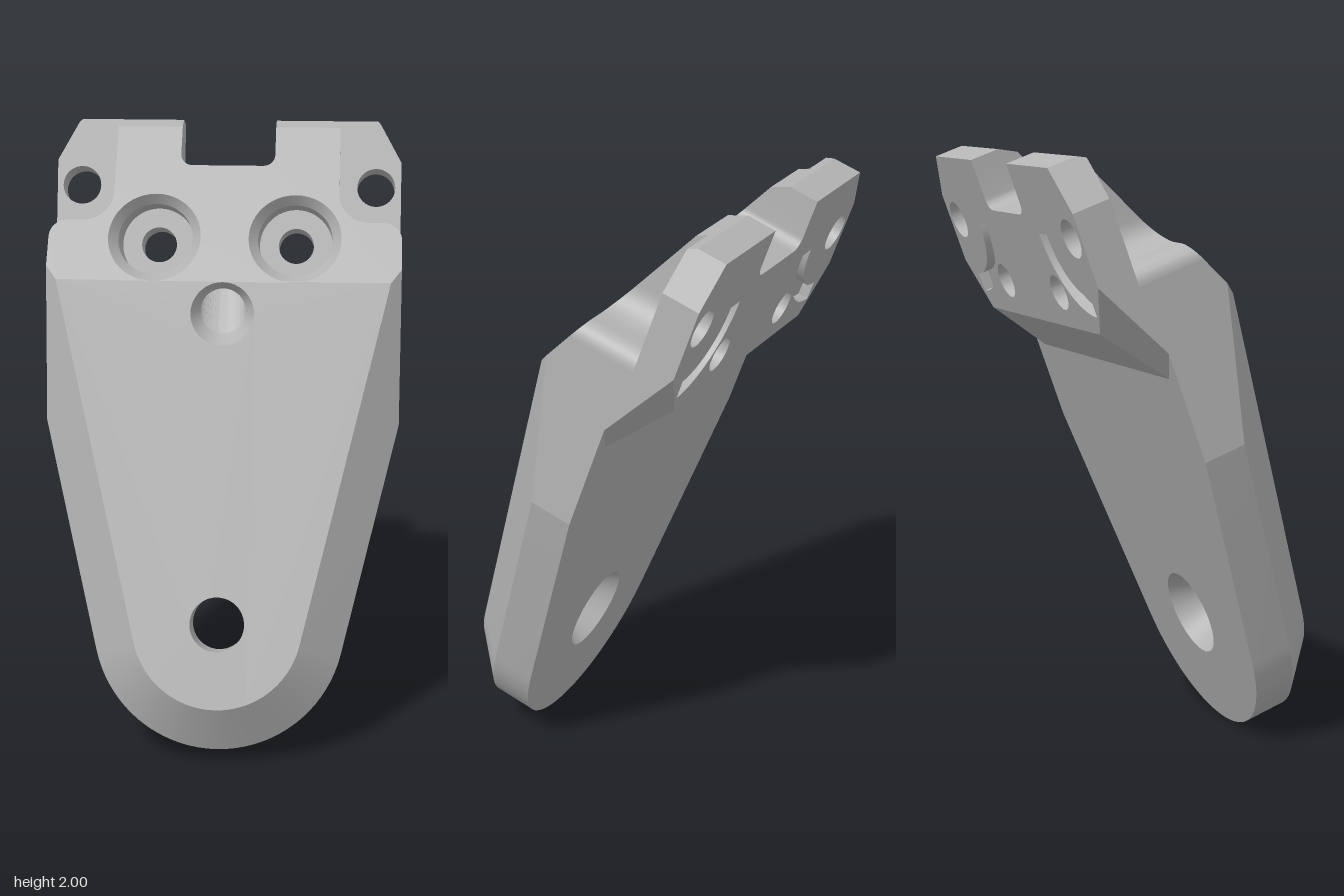
import * as THREE from 'three';
import { toCreasedNormals } from 'three/addons/utils/BufferGeometryUtils.js';

// Plate coordinates: x across, u up along the plate, w outward from its back.
// The finished plate leans back by LEAN.
const LEAN = THREE.MathUtils.degToRad(20);
const FRONT = 0.598, EDGE = 0.458, BACK = 0.312, PAD = 0.16, FLOOR = 0.29;
const FOLD = 1.444, TOP = 2.033, SLOT = 1.857, TIP = 0.311;

// Height of the sloped upper front, with the small bevel along its top
const slope = (x, u) => (u > 2 ? 0.323 - (u - 2) * 1.88 : FRONT - 0.495 * (u - FOLD));

// Arc as a list of [x, u] points, angles in degrees
function arc(cx, cy, r, from, to, n) {
  return Array.from({ length: n + 1 }, (_, i) => {
    const t = THREE.MathUtils.degToRad(from + ((to - from) * i) / n);
    return [cx + r * Math.cos(t), cy + r * Math.sin(t)];
  });
}
const circle = (cx, cy, r) => arc(cx, cy, r, 0, 360, 48);
const flip = (pts) => pts.map(([x, ...rest]) => [-x, ...rest]);
const mirrored = (half) => [...half, ...flip(half).reverse()];
const lift = (pts, w) => pts.map(([x, u]) => [x, u, typeof w === 'function' ? w(x, u) : w]);

// Surface between two point rows of equal length
function strip(a, b) {
  const index = [];
  for (let i = 0; i < a.length - 1; i++) {
    const j = i + a.length;
    index.push(i, i + 1, j, i + 1, j + 1, j);
  }
  const g = new THREE.BufferGeometry();
  g.setAttribute('position', new THREE.Float32BufferAttribute([...a, ...b].flat(), 3));
  g.setIndex(index);
  return toCreasedNormals(g, 0.22);
}

// Flat face from an outline with holes, placed by a mapping rule
function face(outline, holes, place) {
  const vec = (pts) => pts.map(([x, y]) => new THREE.Vector2(x, y));
  const shape = new THREE.Shape(vec(outline));
  shape.holes = holes.map((h) => new THREE.Path(vec(h)));
  const g = new THREE.ShapeGeometry(shape);
  const p = g.attributes.position;
  for (let i = 0; i < p.count; i++) p.setXYZ(i, ...place(p.getX(i), p.getY(i)));
  g.computeVertexNormals();
  return g;
}
const at = (w) => (x, u) => [x, u, typeof w === 'function' ? w(x, u) : w];

export function createModel() {
  const grey = new THREE.MeshStandardMaterial({ color: 0xb4b4b4, side: THREE.DoubleSide });
  grey.name = 'grey metal';
  const plate = new THREE.Group();
  plate.name = 'mountingPlate';
  plate.rotation.x = -LEAN;
  const add = (name, geometry) => {
    const m = new THREE.Mesh(geometry, grey);
    m.name = name;
    plate.add(m);
  };

  // Outlines shared by several faces
  const tipOuter = arc(0, TIP, 0.42, -166.7, -13.3, 36);
  const tipInner = arc(0, TIP, 0.28, -166.7, -13.3, 36);
  const pocketEdge = [...arc(0.53, 1.595, 0.06, 0, 90, 10), ...arc(0.48, 1.755, 0.1, 270, 180, 10)];
  const slotEdge = [[0.16, 2], ...arc(0.12, 1.897, 0.04, 0, -90, 10)];
  const boreAt = [0.235, 1.596], earHoleAt = [0.505, 1.8];
  const both = (pts) => [pts, flip(pts)];

  // Slanting drill hole, from the slot floor out to the lower front
  const drillRim = circle(0, 1.335, 0.105);
  const drillNeck = circle(0, 1.35, 0.075);
  const drillStart = circle(0, 0.328, 0.056);
  add('drillFlare', strip(lift(drillRim, FRONT), lift(drillNeck, 0.54)));
  add('drillHole', strip(lift(drillNeck, 0.54), drillStart.map(([x, w]) => [x, SLOT, w])));

  // Lower front and its bevelled border
  add('lowerFront', face([[-0.555, FOLD], ...tipInner, [0.555, FOLD]],
    [circle(0, TIP, 0.09), drillRim], at(FRONT)));
  add('borderBevel', strip(
    [[-0.59, 1.491, 0.575], [-0.59, 0.983, EDGE], ...lift(tipOuter, EDGE), [0.59, 0.983, EDGE], [0.59, 1.491, 0.575]],
    [[-0.555, FOLD, FRONT], [-0.454, 1.015, FRONT], ...lift(tipInner, FRONT), [0.454, 1.015, FRONT], [0.555, FOLD, FRONT]]));
  const lowerEdge = [[-0.59, 0.983], ...tipOuter, [0.59, 0.983]];
  add('lowerRim', strip(lift(lowerEdge, BACK), lift(lowerEdge, EDGE)));

  // Lower hole, countersunk from behind
  const holeRing = (r, w) => lift(circle(0, TIP, r), w);
  add('lowerHole', strip(holeRing(0.09, FRONT), holeRing(0.09, 0.4)));
  add('lowerHoleStep', strip(holeRing(0.09, 0.4), holeRing(0.105, 0.4)));
  add('lowerCountersink', strip(holeRing(0.105, 0.4), holeRing(0.15, BACK)));

  // Sloped upper front
  add('upperFront', face(
    mirrored([[0.555, FOLD], [0.59, 1.491], ...pocketEdge, [0.38, 2], ...slotEdge]),
    both(circle(...boreAt, 0.155)), at(slope)));

  // Notch in the top edge
  const notch = mirrored([[0.16, TOP], ...slotEdge]);
  const notchSide = [[0.16, TOP], ...slotEdge];
  for (const side of both(notchSide)) add('notchSide', strip(lift(side, PAD), lift(side, slope)));
  const floorFront = slope(0, SLOT);
  add('notchFloor', face([[-0.12, PAD], [0.12, PAD], [0.12, floorFront], [-0.12, floorFront]],
    [drillStart], (x, w) => [x, SLOT, w]));

  // Back faces
  add('lowerBack', face([...lowerEdge, [0.59, 1.36], [0.523, 1.265], [-0.523, 1.265], [-0.59, 1.36]],
    [circle(0, TIP, 0.15)], at(BACK)));
  add('backStep', strip([[-0.523, 1.265, BACK], [0.523, 1.265, BACK]], [[-0.47, 1.475, PAD], [0.47, 1.475, PAD]]));
  const groove = [...arc(...earHoleAt, 0.265, 180, 268, 16), ...arc(...earHoleAt, 0.2, 268, 180, 16)];
  add('padBack', face(
    [[0.47, 1.475], [0.59, 1.644], [0.59, 1.887], [0.51, TOP], ...notch,
      [-0.51, TOP], [-0.59, 1.887], [-0.59, 1.644], [-0.47, 1.475]],
    [...both(circle(...boreAt, 0.06)), ...both(circle(...earHoleAt, 0.065)), ...both(groove)], at(PAD)));

  // Parts that repeat on the left and right
  for (const s of [1, -1]) {
    const side = (pts) => (s > 0 ? pts : flip(pts));
    const pair = (name, a, b) => add(name, strip(side(a), side(b)));
    const wall = (name, path, low, high) => pair(name, lift(path, low), lift(path, high));
    const ring = (centre, r, w) => lift(circle(...centre, r), w);

    // Outer side walls
    const edge = (rows) => rows.map(([u, w]) => [0.59, u, w]);
    pair('sideWall',
      edge([[0.983, BACK], [1.36, BACK], [1.491, 0.242], [1.595, 0.186]]),
      edge([[0.983, EDGE], [1.36, 0.545], [1.491, 0.575], [1.595, slope(0, 1.595)]]));
    pair('earSide',
      edge([[1.595, 0.186], [1.644, PAD], [1.887, PAD]]),
      edge([[1.595, FLOOR], [1.644, FLOOR], [1.887, FLOOR]]));
    pair('earCorner',
      [[0.59, 1.887, PAD], [0.518, 2.018, PAD], [0.51, TOP, PAD]],
      [[0.59, 1.887, FLOOR], [0.518, 2.018, FLOOR], [0.51, TOP, 0.261]]);
    pair('stepCorner',
      [[0.59, 1.36, BACK], [0.523, 1.265, BACK]], [[0.59, 1.644, PAD], [0.47, 1.475, PAD]]);

    // Top edge and its bevel
    wall('topEdge', [[0.16, TOP], [0.51, TOP]], PAD, 0.261);
    pair('topBevel', [[0.16, 2, 0.323], [0.38, 2, 0.323]], [[0.16, TOP, 0.261], [0.38, TOP, 0.261]]);
    pair('earBevel', [[0.38, 2.018, FLOOR], [0.518, 2.018, FLOOR]], [[0.38, TOP, 0.261], [0.51, TOP, 0.261]]);

    // Ear pocket with its screw hole
    add('earPocketFloor', face(
      side([...pocketEdge, [0.38, 2.018], [0.518, 2.018], [0.59, 1.887]]),
      [side(circle(...earHoleAt, 0.065))], at(FLOOR)));
    wall('earPocketWall', [...pocketEdge, [0.38, 2], [0.38, 2.018]], FLOOR, slope);
    wall('earHole', circle(...earHoleAt, 0.065), PAD, FLOOR);

    // Counterbored screw seat
    const neck = (x, u) => slope(x, u) - 0.05;
    pair('seatBevel', ring(boreAt, 0.155, slope), ring(boreAt, 0.125, neck));
    pair('seatBore', ring(boreAt, 0.125, neck), ring(boreAt, 0.125, FLOOR));
    pair('seatFloor', ring(boreAt, 0.125, FLOOR), ring(boreAt, 0.06, FLOOR));
    pair('seatHole', ring(boreAt, 0.06, FLOOR), ring(boreAt, 0.06, PAD));

    // Curved groove on the back pad
    wall('grooveWall', [...groove, groove[0]], PAD, PAD + 0.035);
    add('grooveFloor', face(side(groove), [], at(PAD + 0.035)));
  }

  const model = new THREE.Group();
  model.name = 'angledBracket';
  model.add(plate);
  return model;
}
